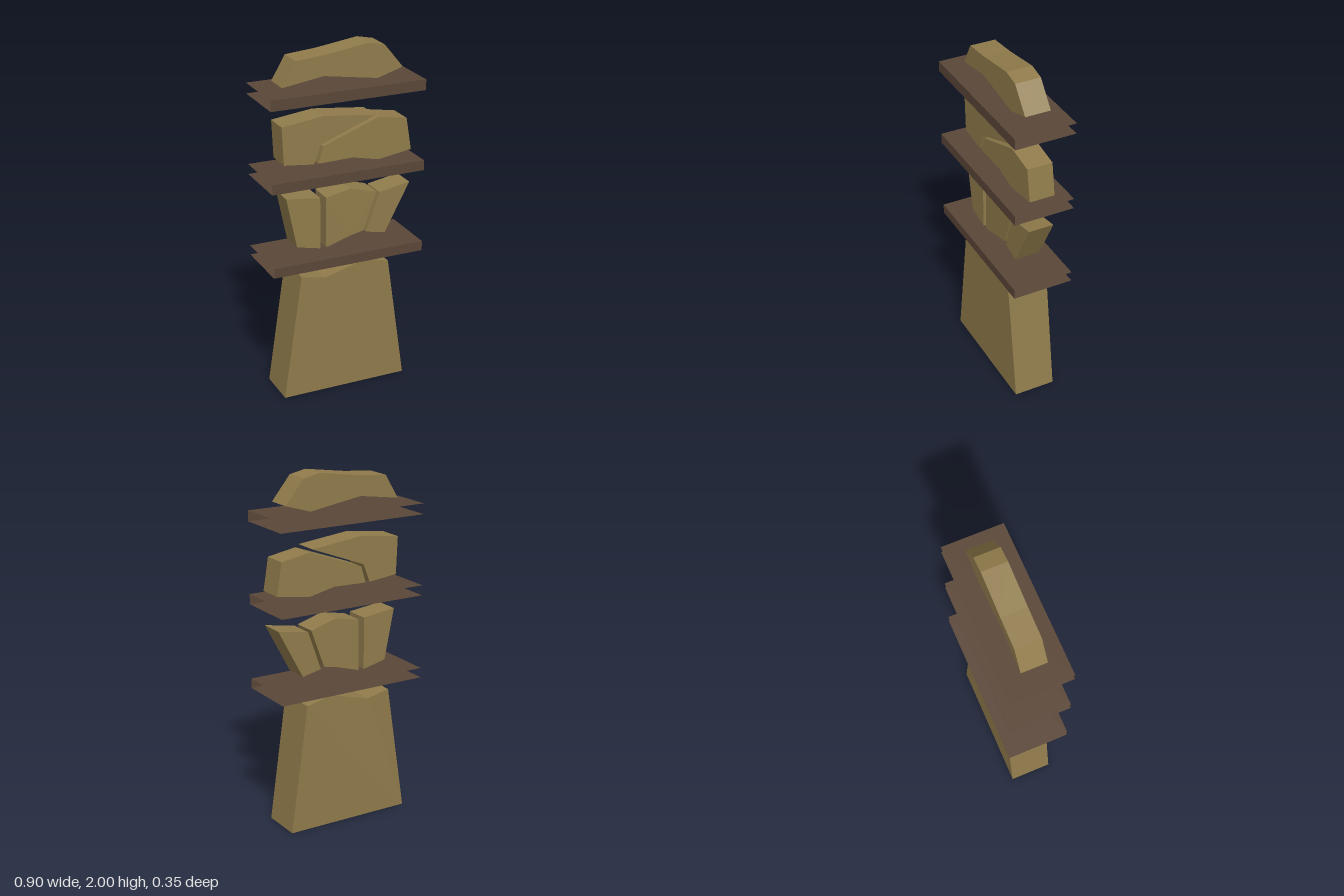
import * as THREE from 'three';

const stone = new THREE.MeshStandardMaterial({ color: 0x907b4b });
stone.name = 'sandstone';
const wood = new THREE.MeshStandardMaterial({ color: 0x5a4637, side: THREE.DoubleSide });
wood.name = 'darkBrown';

// Outline in the front plane, extruded evenly about z = 0
function slab(name, depth, points) {
  const shape = new THREE.Shape(points.map(([x, y]) => new THREE.Vector2(x, y)));
  const geometry = new THREE.ExtrudeGeometry(shape, { depth, bevelEnabled: false });
  geometry.translate(0, 0, -depth / 2);
  const mesh = new THREE.Mesh(geometry, stone);
  mesh.name = name;
  return mesh;
}

// Shelf folded from three sheets: top, bottom and front, open at the back and ends
function shelf(name, y0, y1) {
  const width = 0.9, depth = 0.35;
  const group = new THREE.Group();
  group.name = name;
  const add = (part, height, y, z, tilt) => {
    const mesh = new THREE.Mesh(new THREE.PlaneGeometry(width, height), wood);
    mesh.name = part;
    mesh.position.set(0, y, z);
    mesh.rotation.x = tilt;
    group.add(mesh);
  };
  add('shelfTop', depth, y1, 0, -Math.PI / 2);
  add('shelfBottom', depth, y0, 0, Math.PI / 2);
  add('shelfFront', y1 - y0, (y0 + y1) / 2, depth / 2, 0);
  return group;
}

export function createModel() {
  const model = new THREE.Group();
  model.name = 'layeredStonePillar';

  // Tapered base with an uneven top
  model.add(slab('base', 0.24, [
    [-0.375, 0], [0.37, 0], [0.265, 0.735], [0.115, 0.77], [-0.125, 0.705], [-0.265, 0.735],
  ]));

  // Shelves between the stone layers
  [[0.787, 0.843], [1.27, 1.328], [1.73, 1.79]].forEach(([a, b], i) => model.add(shelf(`shelf${i + 1}`, a, b)));

  // Broken stones resting above each shelf
  const stones = {
    lowerStoneRight: [[-0.33, 1.19], [-0.27, 0.897], [-0.13, 0.865], [-0.13, 1.165]],
    lowerStoneMiddle: [[-0.095, 1.16], [-0.095, 0.865], [0.055, 0.91], [0.13, 0.925], [0.21, 1.145], [0.055, 1.19]],
    lowerStoneLeft: [[0.23, 1.14], [0.15, 0.915], [0.265, 0.89], [0.415, 1.172]],
    middleStoneRight: [[-0.35, 1.6], [-0.34, 1.385], [-0.165, 1.365], [-0.125, 1.47], [0.2, 1.595], [-0.11, 1.63]],
    middleStoneLeft: [[0.22, 1.58], [-0.11, 1.46], [-0.14, 1.365], [0.065, 1.37], [0.22, 1.335], [0.42, 1.365], [0.39, 1.55]],
    capStone: [[-0.345, 1.815], [-0.105, 1.85], [0.21, 1.8], [0.36, 1.845], [0.25, 1.98], [0.155, 2], [-0.09, 1.965], [-0.265, 1.95]],
  };
  for (const [name, points] of Object.entries(stones)) model.add(slab(name, 0.146, points));

  return model;
}
